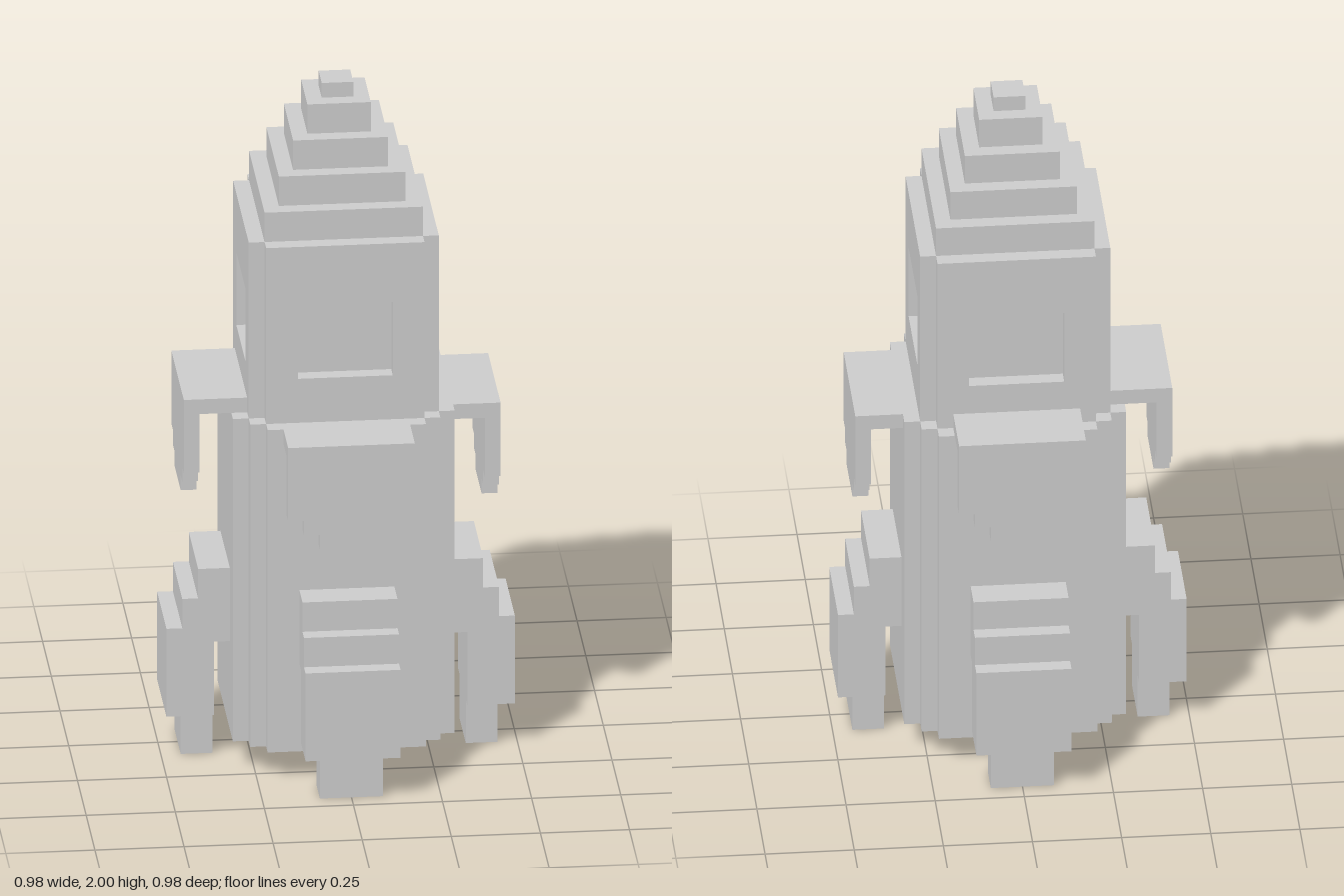
import * as THREE from 'three';

const U = 2 / 45; // one block
const material = new THREE.MeshStandardMaterial({ color: 0xcccccc, flatShading: true });

function add(parent, name, geometry) {
  const mesh = new THREE.Mesh(geometry, material);
  mesh.name = name;
  parent.add(mesh);
  return mesh;
}

// Box given by its minimum and maximum corners, in blocks
function box(x0, y0, z0, x1, y1, z1) {
  return new THREE.BoxGeometry(x1 - x0, y1 - y0, z1 - z0)
    .translate((x0 + x1) / 2, (y0 + y1) / 2, (z0 + z1) / 2);
}

const shapeOf = (points) => new THREE.Shape(points.map(([x, y]) => new THREE.Vector2(x, y)));
const extrude = (shape, depth) => new THREE.ExtrudeGeometry(shape, { depth, bevelEnabled: false });

// Outline mirrored across x = 0, from its right-hand points listed bottom to top
function mirrored(right) {
  return shapeOf([...right, ...right.map(([x, y]) => [-x, y]).reverse()]);
}

// Wall panel with a square window opening
function windowPanel() {
  const shape = mirrored([[5, 24], [5, 36]]);
  shape.holes.push(new THREE.Path(mirrored([[3, 27], [3, 32]]).getPoints()));
  return extrude(shape, 1).translate(0, 0, 5);
}

// Hanging shield plate with a stepped lower edge
function shieldPlate() {
  const shape = mirrored([[2, 17], [2, 18], [3, 18], [3, 19], [4, 19], [4, 24]]);
  return extrude(shape, 1).translate(0, 0, 9);
}

// Stepped landing leg, profile drawn as (distance outward, height)
function landingLeg() {
  const shape = shapeOf([
    [7, 8], [8, 8], [8, 3], [11, 3], [11, 9], [10, 9],
    [10, 11], [9, 11], [9, 13], [7, 13],
  ]);
  return extrude(shape, 6).translate(0, 0, -3).rotateY(-Math.PI / 2);
}

export function createModel() {
  const model = new THREE.Group();
  model.name = 'rocket';
  const rocket = new THREE.Group();
  rocket.name = 'blocks';
  rocket.scale.setScalar(U);
  model.add(rocket);

  // Lower hull with stepped corners
  const hull = mirrored([[5, -7], [5, -6], [6, -6], [6, -5], [7, -5],
    [7, 5], [6, 5], [6, 6], [5, 6], [5, 7]]);
  add(rocket, 'lowerHull', extrude(hull, 22).rotateX(-Math.PI / 2).translate(0, 2, 0));

  // Cabin core behind the window panels
  add(rocket, 'cabin', box(-5, 24, -5, 5, 36, 5));

  // Stepped nose
  for (let i = 0; i < 5; i++) {
    const r = 5 - i, y = 36 + 2 * i;
    add(rocket, 'noseStep' + (i + 1), box(-r, y, -r, r, Math.min(y + 2, 45), r));
  }

  // Four sides; the back and right shields sit one block higher
  ['front', 'left', 'back', 'right'].forEach((name, i) => {
    const side = new THREE.Group();
    side.name = name + 'Side';
    side.rotation.y = i * Math.PI / 2;
    rocket.add(side);

    add(side, 'windowPanel', windowPanel());

    const raised = i >= 2;
    const shield = new THREE.Group();
    shield.name = 'shield';
    shield.position.y = raised ? 1 : 0;
    side.add(shield);
    add(shield, 'shieldPlate', shieldPlate());
    add(shield, 'shieldArm', box(-4, 23, raised ? 6 : 7, 4, 24, 9));

    add(side, 'landingLeg', landingLeg());
    add(side, 'foot', box(-2, 0, 8, 2, 3, 10));
  });

  return model;
}
